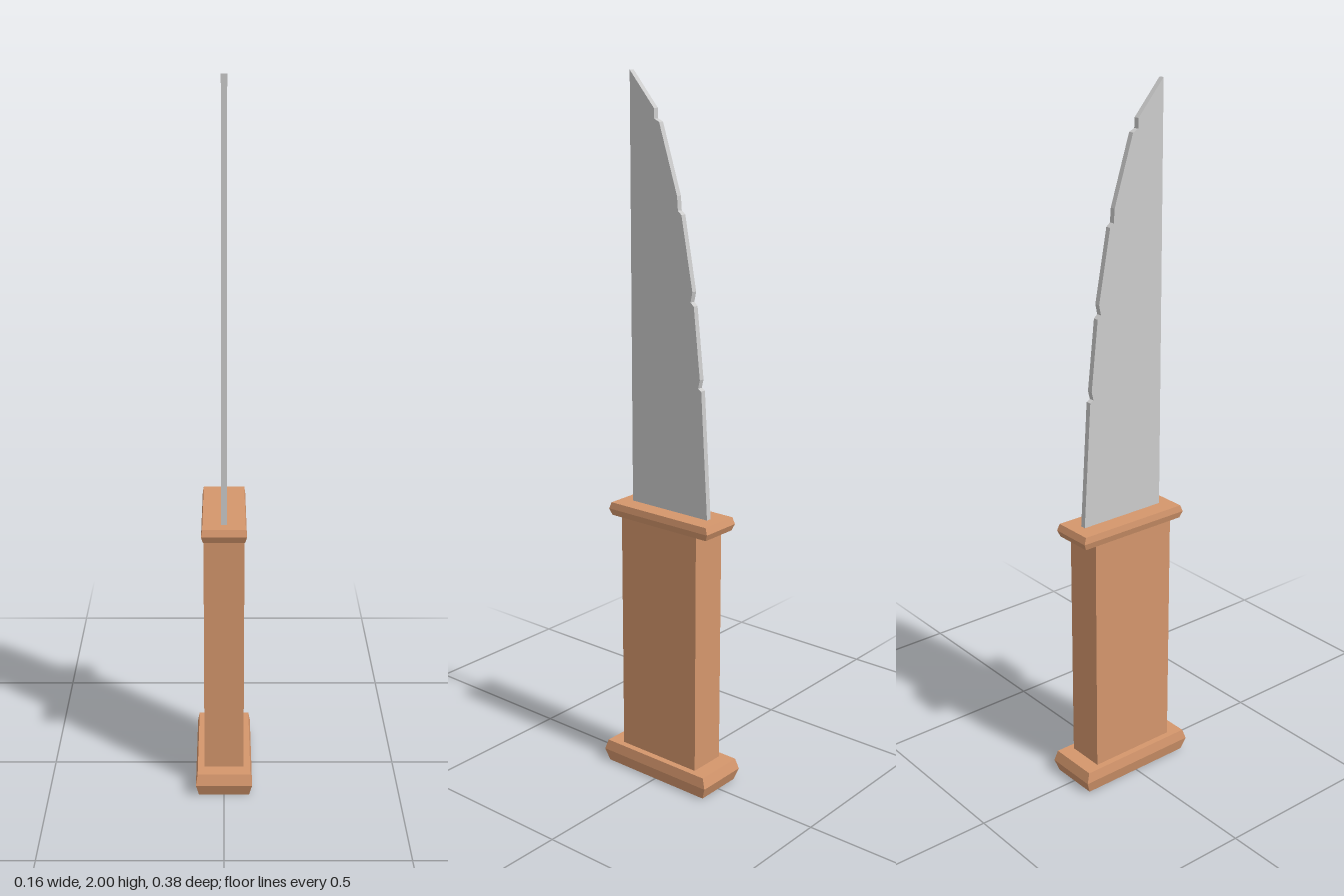
import * as THREE from 'three';

const wood = new THREE.MeshStandardMaterial({ color: 0xd4966c, flatShading: true });
const steel = new THREE.MeshStandardMaterial({ color: 0xcccccc, flatShading: true });

function part(name, geometry, material) {
  const mesh = new THREE.Mesh(geometry, material);
  mesh.name = name;
  return mesh;
}

// Block with a ridge round its middle; each ring is [y, half width, half depth], bottom to top
function ridgedBlock(rings) {
  const geometry = new THREE.BoxGeometry(2, 2, 2, 1, rings.length - 1, 1);
  const pos = geometry.attributes.position;
  for (let i = 0; i < pos.count; i++) {
    const row = Math.round(((pos.getY(i) + 1) / 2) * (rings.length - 1));
    const [y, hx, hz] = rings[row];
    pos.setXYZ(i, pos.getX(i) * hx, y, pos.getZ(i) * hz);
  }
  geometry.computeVertexNormals();
  return geometry;
}

// Flat blade: straight front side, curved and nicked rear side; points are [z, y]
function bladeGeometry() {
  const outline = [
    [0.135, 0.79], [-0.136, 0.79], [-0.135, 0.81],
    [-0.112, 1.17], [-0.101, 1.176], [-0.107, 1.2],
    [-0.085, 1.397], [-0.074, 1.407], [-0.08, 1.435],
    [-0.042, 1.635], [-0.03, 1.645], [-0.027, 1.683],
    [0.034, 1.87], [0.051, 1.878], [0.052, 1.905],
    [0.135, 2.0],
  ];
  const shape = new THREE.Shape(outline.map(([z, y]) => new THREE.Vector2(z, y)));
  const thickness = 0.016;
  const geometry = new THREE.ExtrudeGeometry(shape, { depth: thickness, bevelEnabled: false });
  geometry.translate(0, 0, -thickness / 2);
  geometry.rotateY(-Math.PI / 2);
  return geometry;
}

export function createModel() {
  const model = new THREE.Group();
  model.name = 'knife';

  // Pommel at the foot of the handle
  model.add(part('pommel', ridgedBlock([
    [0, 0.072, 0.177], [0.036, 0.08, 0.19], [0.066, 0.075, 0.18],
  ]), wood));

  // Grip
  const grip = part('grip', new THREE.BoxGeometry(0.112, 0.74, 0.27), wood);
  grip.position.y = 0.42;
  model.add(grip);

  // Guard between grip and blade
  model.add(part('guard', ridgedBlock([
    [0.772, 0.057, 0.17], [0.791, 0.062, 0.178], [0.81, 0.059, 0.171],
  ]), wood));

  // Blade
  model.add(part('blade', bladeGeometry(), steel));

  return model;
}
